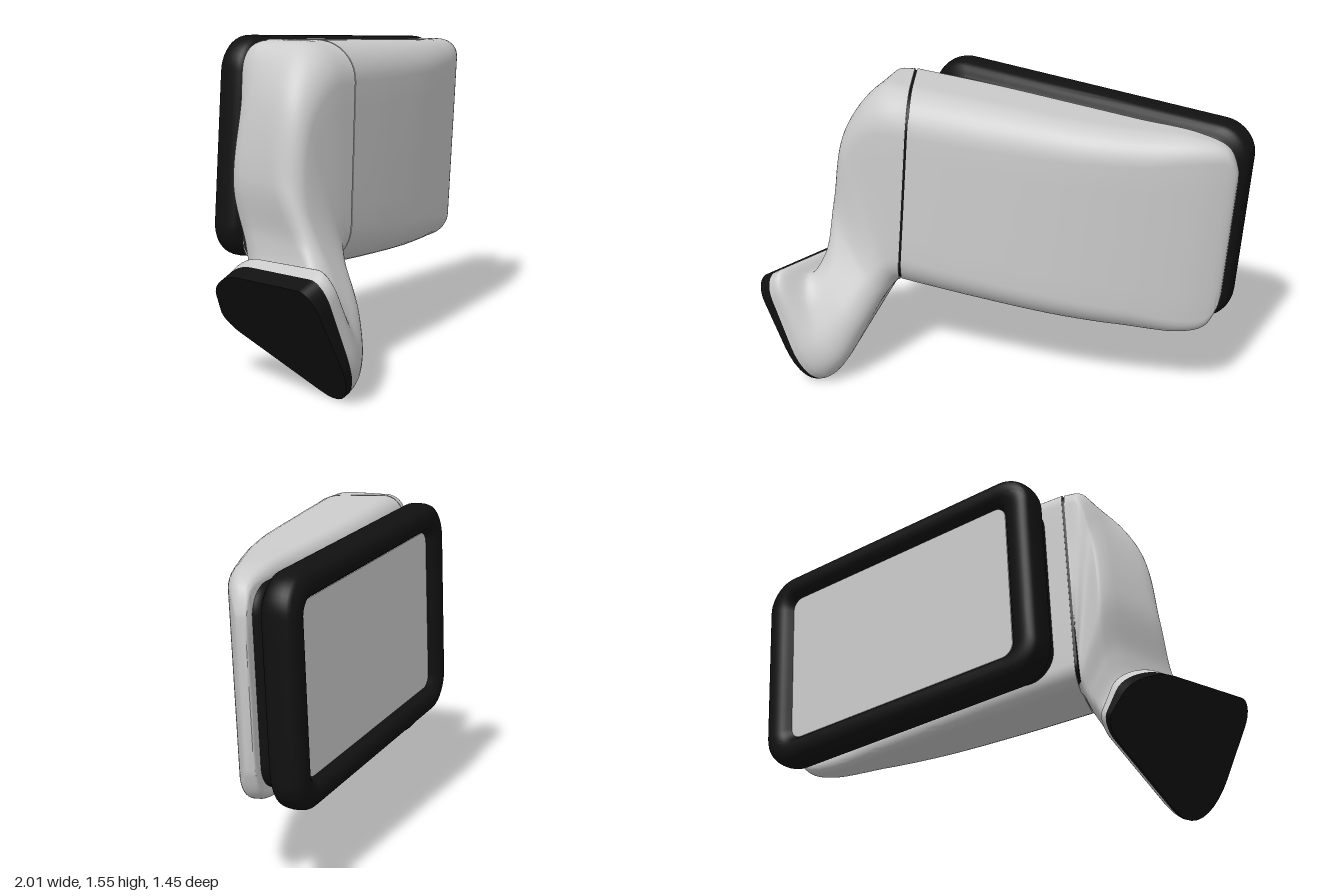
import * as THREE from 'three';
import { mergeVertices, toCreasedNormals } from 'three/addons/utils/BufferGeometryUtils.js';

const V = (x, y, z) => new THREE.Vector3(x, y, z);
const grey = new THREE.MeshStandardMaterial({ color: 0xcccccc });
const black = new THREE.MeshStandardMaterial({ color: 0x111111 });

// Closed ring: a four-cornered section (top back, top front, bottom front,
// bottom back), each corner rounded by its own radius
function ring([tb, tf, bf, bb], radii) {
  const w = (tb.distanceTo(tf) + bb.distanceTo(bf)) / 2 + 1e-6;
  const h = (tb.distanceTo(bb) + tf.distanceTo(bf)) / 2 + 1e-6;
  const arcs = radii.map((r, k) => {
    const ru = Math.min(0.48, r / w), rv = Math.min(0.48, r / h);
    const cu = k === 1 || k === 2 ? 1 - ru : ru, cv = k < 2 ? 1 - rv : rv;
    return Array.from({ length: 11 }, (_, i) => {
      const a = Math.PI - (k + i / 10) * Math.PI / 2;
      return [cu + ru * Math.cos(a), cv + rv * Math.sin(a)];
    });
  });
  const uv = [];
  arcs.forEach((arc, k) => {
    uv.push(...arc);
    const a = arc[10], b = arcs[(k + 1) % 4][0];
    for (let i = 1; i < 6; i++) uv.push([a[0] + (b[0] - a[0]) * i / 6, a[1] + (b[1] - a[1]) * i / 6]);
  });
  return uv.map(([u, v]) => bb.clone().lerp(bf, u).lerp(tb.clone().lerp(tf, u), v));
}

// Smooth loft through sections {c: corners, r: corner radii}
function loft(name, material, sections, steps, capStart = false, capEnd = false) {
  const rails = [0, 1, 2, 3].map((k) => new THREE.CatmullRomCurve3(sections.map((s) => s.c[k])));
  const n = (sections.length - 1) * steps, rings = [];
  for (let i = 0; i <= n; i++) {
    const p = i / steps, j = Math.min(Math.floor(p), sections.length - 2);
    const radii = sections[j].r.map((r, k) => THREE.MathUtils.lerp(r, sections[j + 1].r[k], p - j));
    rings.push(ring(rails.map((r) => r.getPoint(i / n)), radii));
  }
  const m = rings[0].length, pos = [], idx = [];
  rings.flat().forEach((p) => pos.push(p.x, p.y, p.z));
  for (let i = 0; i < n; i++) for (let j = 0; j < m; j++) {
    const a = i * m + j, b = i * m + (j + 1) % m;
    idx.push(a, b, b + m, a, b + m, a + m);
  }
  const cap = (row, flip) => {
    const c = rings[row].reduce((s, p) => s.add(p), V(0, 0, 0)).divideScalar(m);
    const ci = pos.push(c.x, c.y, c.z) / 3 - 1;
    for (let j = 0; j < m; j++) {
      const a = row * m + j, b = row * m + (j + 1) % m;
      idx.push(ci, flip ? b : a, flip ? a : b);
    }
  };
  if (capStart) cap(0, true);
  if (capEnd) cap(n, false);
  let geo = new THREE.BufferGeometry();
  geo.setAttribute('position', new THREE.Float32BufferAttribute(pos, 3));
  geo.setIndex(idx);
  geo = toCreasedNormals(mergeVertices(geo, 1e-5), 0.7);
  const mesh = new THREE.Mesh(geo, material);
  mesh.name = name;
  return mesh;
}

const section = (corners, r) => ({ c: corners.map((p) => V(...p)), r });

// Upright housing section between a front and a back point in plan,
// leaning outward toward the top
function upright(fx, fz, bx, bz, top, bottom, r) {
  const at = (x, y, z) => [x + 0.07 * (y - 1), y, z];
  const tilt = 0.02 * THREE.MathUtils.clamp(0.5 - fx, 0, 1);
  return section([at(bx, top, bz), at(fx, top, fz - tilt), at(fx, bottom, fz + tilt), at(bx, bottom, bz)],
    [r * 0.5, r, r, r * 0.5]);
}

// Section parallel to the mirror face: depth d along its normal, inset all round
function facing(d, inset, r, side = inset) {
  const at = (s, v) => {
    const y = 0.99 - 0.052 * s + v * (0.525 - inset);
    return [0.976 * s + 0.22 * d + 0.07 * (y - 1), y, -0.22 * s + 0.976 * d];
  };
  const s0 = -0.59 + side, s1 = 1.067 - side;
  return section([at(s0, 1), at(s1, 1), at(s1, -1), at(s0, -1)], [r, r, r, r]);
}

// Copy of a section moved along the seam normal and scaled about its centre
function shifted(s, k, scale = 1) {
  const mid = s.c.reduce((a, p) => a.add(p), V(0, 0, 0)).divideScalar(4);
  return { r: s.r, c: s.c.map((p) => p.clone().sub(mid).multiplyScalar(scale).add(mid).add(V(0.8 * k, 0, -0.6 * k))) };
}

export function createModel() {
  const model = new THREE.Group();
  model.name = 'sideMirror';

  // Mounting pad: thicker at the top than at the bottom
  const padRadii = [0.24, 0.09, 0.24, 0.1];
  const padOuter = [[-0.99, 0.515, 0.0], [-1.008, 0.545, 0.73], [-0.68, -0.085, 0.7], [-0.85, 0.25, -0.09]];
  const padInner = [[-0.92, 0.553, 0.0], [-0.938, 0.583, 0.73], [-0.66, -0.075, 0.7], [-0.83, 0.26, -0.09]];
  model.add(loft('mountingPad', black, [section(padOuter, padRadii), section(padInner, padRadii)], 1, true, true));

  // Arm: flares from the pad, turns upward and then out to the seam
  const seam = upright(-0.385, 0.29, -0.68, -0.12, 1.54, 0.5, 0.19);
  model.add(loft('arm', grey, [
    section(padInner, padRadii),
    section([[-0.87, 0.58, 0.01], [-0.885, 0.615, 0.715], [-0.62, -0.03, 0.69], [-0.79, 0.285, -0.075]], [0.22, 0.09, 0.22, 0.1]),
    section([[-0.83, 0.54, 0.05], [-0.82, 0.56, 0.6], [-0.545, 0.1, 0.65], [-0.73, 0.33, -0.01]], [0.12, 0.11, 0.18, 0.09]),
    section([[-0.81, 0.67, 0.01], [-0.8, 0.67, 0.49], [-0.49, 0.3, 0.55], [-0.69, 0.42, -0.05]], [0.1, 0.13, 0.15, 0.08]),
    section([[-0.83, 0.93, -0.05], [-0.83, 0.93, 0.385], [-0.455, 0.46, 0.41], [-0.68, 0.48, -0.08]], [0.09, 0.14, 0.14, 0.08]),
    section([[-0.77, 1.32, -0.05], [-0.75, 1.34, 0.365], [-0.44, 0.5, 0.335], [-0.68, 0.5, -0.1]], [0.09, 0.18, 0.16, 0.08]),
    section([[-0.715, 1.52, -0.09], [-0.55, 1.53, 0.33], [-0.43, 0.5, 0.315], [-0.69, 0.5, -0.11]], [0.09, 0.2, 0.18, 0.09]),
    shifted(seam, -0.006),
  ], 10, false, true));

  // Dark joint showing in the gap between arm and housing
  model.add(loft('pivotSeam', black, [shifted(seam, -0.008, 0.985), shifted(seam, 0.008, 0.985)], 1, true, true));

  // Housing: tapers in depth toward its rounded outer end
  model.add(loft('housing', grey, [
    shifted(seam, 0.006),
    upright(0, 0.145, -0.3, -0.235, 1.52, 0.47, 0.18),
    upright(0.4, -0.02, 0.1, -0.33, 1.497, 0.447, 0.16),
    upright(0.67, -0.18, 0.45, -0.405, 1.48, 0.43, 0.14),
    upright(0.87, -0.335, 0.75, -0.475, 1.463, 0.42, 0.1),
    upright(0.95, -0.42, 0.91, -0.505, 1.415, 0.46, 0.06),
    upright(0.982, -0.47, 0.962, -0.517, 1.31, 0.57, 0.02),
    upright(0.982, -0.49, 0.972, -0.515, 1.25, 0.63, 0.01),
  ], 8, true, true));

  // Rubber rim: recessed neck, full outer band, rolled lip and inner recess
  model.add(loft('rim', black, [
    facing(-0.27, 0.06, 0.13), facing(-0.33, 0.06, 0.13), facing(-0.355, 0.025, 0.15),
    facing(-0.385, 0, 0.16), facing(-0.48, 0, 0.16), facing(-0.508, 0.025, 0.15),
    facing(-0.516, 0.065, 0.12), facing(-0.505, 0.1, 0.08, 0.11), facing(-0.465, 0.13, 0.06, 0.15),
  ], 4, true));

  // Mirror glass, slightly recessed in the rim
  model.add(loft('mirrorGlass', grey, [facing(-0.455, 0.128, 0.06, 0.148), facing(-0.472, 0.128, 0.06, 0.148)], 1, true, true));

  return model;
}
